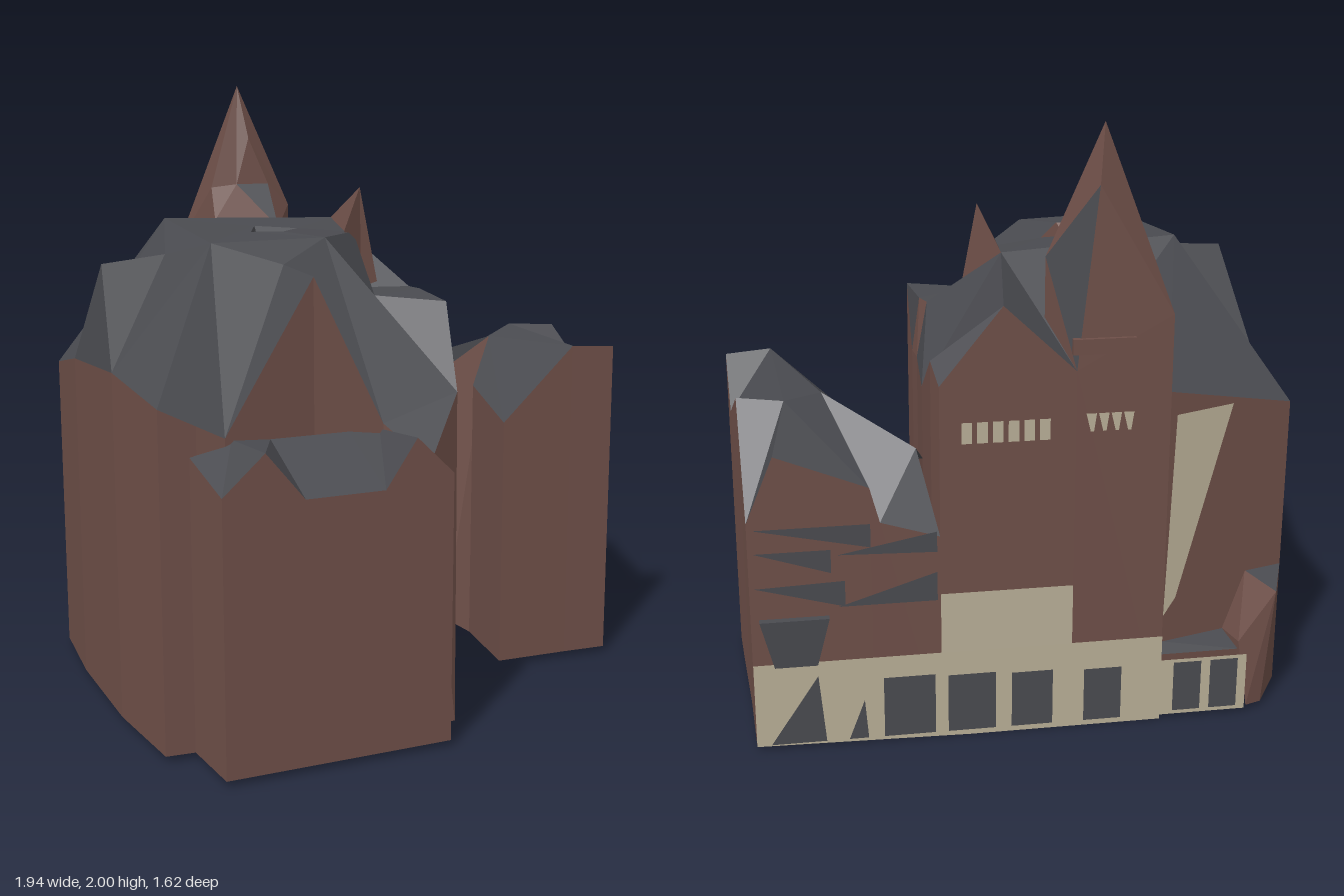
import * as THREE from 'three';

const mat = (name, color) => {
  const m = new THREE.MeshStandardMaterial({ color, side: THREE.DoubleSide, flatShading: true });
  m.name = name;
  return m;
};

export function createModel() {
  const group = new THREE.Group();
  const brick = mat('brick', 0x6e4f48);
  const slate = mat('slate', 0x4a4b50);
  const stone = mat('stone', 0xb9af97);

  // Flat polygons, each cut into a fan of triangles
  function faces(name, material, polys) {
    const pos = [];
    for (const p of polys)
      for (let i = 1; i < p.length - 1; i++)
        for (const v of [p[0], p[i], p[i + 1]]) pos.push(v[0], v[1], v[2]);
    const g = new THREE.BufferGeometry();
    g.setAttribute('position', new THREE.Float32BufferAttribute(pos, 3));
    g.computeVertexNormals();
    const mesh = new THREE.Mesh(g, material);
    mesh.name = name;
    group.add(mesh);
  }

  // Walls below a row of top corners [x, y, z, footX?, footZ?], open underneath
  function walls(name, row, base = 0.02) {
    const foot = row.map(p => [p[3] ?? p[0], base, p[4] ?? p[2]]);
    faces(name, brick, row.slice(1).map((p, i) => [row[i], p, foot[i + 1], foot[i]]));
  }

  // Points on the slanted back facade, pushed out by a small offset
  const onFacade = (x, y, off = 0.005) => [x + 0.32 * off, y, -0.585 + 0.34 * x - 0.947 * off];
  const panel = (x0, x1, y0, y1, off) =>
    [onFacade(x0, y0, off), onFacade(x1, y0, off), onFacade(x1, y1, off), onFacade(x0, y1, off)];

  // Main block: eave corners
  const e0 = [-0.8, 1.05, -0.67], e1 = [-0.88, 1.12, -0.35], e2 = [-0.95, 1.15, 0.08];
  const e3 = [-0.97, 1.1, 0.42], e4 = [-0.86, 1.05, 0.45];
  const g0 = [-0.78, 1.0, 0.48], gp = [-0.48, 1.46, 0.5], g1 = [-0.28, 1.0, 0.58], gr = [-0.45, 1.47, 0.28];
  const e5 = [-0.18, 0.88, 0.69, -0.17, 0.68], e6 = [-0.01, 1.07, 0.6, -0.08, 0.7];
  const e7 = [0.11, 1.32, 0.38], e8a = [0.19, 1.14, 0.17], e8 = [0.21, 1.14, 0.09];
  const e9 = [0.32, 1.13, -0.18], e10 = [0.38, 1.28, -0.37], e11 = [0.39, 1.22, -0.452];
  const e12 = [0.2, 1.47, -0.517], e13 = [-0.02, 1.25, -0.592];
  const p1 = [-0.31, 1.42, -0.69], e14 = [-0.33, 1.15, -0.645];
  walls('mainWalls',
    [e0, e1, e2, e3, e4, g0, gp, g1, e5, e6, e7, e8a, e8, e9, e10, e11, e12, e13, p1, e14, e0]);

  // Main roof: flat top with a diamond skylight pit
  const t0 = [-0.55, 1.57, -0.32], t1 = [0.04, 1.55, -0.2], t2 = [0, 1.52, 0];
  const t3 = [-0.27, 1.54, 0.24], t4 = [-0.65, 1.54, 0.18];
  const d0 = [-0.43, 1.55, 0.05], d1 = [-0.33, 1.55, -0.1], d2 = [-0.2, 1.54, -0.04], d3 = [-0.34, 1.55, 0.1];
  const pit = [-0.35, 1.46, -0.01];
  faces('roofTop', slate, [
    [t4, t0, d1, d0], [t0, t1, d1], [t1, t2, d2, d1], [t2, t3, d3, d2], [t3, t4, d0, d3],
    [d0, d1, pit], [d1, d2, pit],
  ]);
  faces('skylightPit', brick, [[d2, d3, pit], [d3, d0, pit]]);

  // Main roof: slopes with the side and front dormers
  const r0 = [-0.88, 1.46, -0.12], r1 = [-0.67, 1.48, -0.09];
  const c = [-0.05, 1.33, 0.2], b = [0.17, 1.33, 0.15], b2 = [0.17, 1.33, 0.09], dd = [0.02, 1.33, 0.02];
  faces('rightRoof', slate, [
    [e14, e0, t0], [e0, e1, t0], [e1, r0, r1], [e1, r1, t0], [e1, e2, r0],
    [e2, r0, r1], [e2, r1, t4], [r1, t0, t4], [e2, e3, t4],
  ]);
  faces('frontRoof', slate, [
    [e3, e4, g0], [e3, g0, t4], [g0, gp, gr], [g0, gr, t4], [gr, t3, t4],
    [g1, gp, gr], [g1, gr, t3], [g1, e5, e6], [g1, e6, t3],
  ]);
  faces('leftRoof', slate, [
    [e6, e7, c], [e6, c, t3], [e7, b, c], [b, b2, dd, c], [c, t3, t2], [c, dd, t2],
    [e7, b, e8a], [b2, e8, e9], [b2, e9, t1], [dd, b2, t1], [dd, t1, t2],
    [e9, t1, e12], [e9, e12, e10], [e10, e11, e12],
  ]);
  faces('backRoof', slate, [[t1, e12, e13], [t1, e13, t0], [t0, e13, e14]]);
  faces('dormerCheek', brick, [[b, b2, e8, e8a]]);

  // Pointed gable on the left edge of the flat roof
  const spike = [0.02, 1.67, 0.01], s1 = [-0.07, 1.53, 0.05], s2 = [0.08, 1.34, 0.03];
  faces('roofGable', brick, [[spike, s1, dd], [spike, dd, s2], [spike, s2, t1], [spike, s1, t1]]);

  // Tower and spire
  const apex = [-0.165, 2, -0.49], sh = [-0.085, 1.83, -0.6], sh2 = [-0.285, 1.65, -0.47];
  const m = [-0.15, 1.82, -0.44], pk = [-0.09, 1.66, -0.41], mid = [-0.2, 1.66, -0.44];
  const p3 = [0, 1.58, -0.42], p4 = [-0.09, 1.51, -0.34], p5 = [-0.3, 1.54, -0.42];
  walls('towerWalls', [e13, p3, p4, p5, p1], 0.95);
  faces('spire', brick, [
    [p1, e13, sh], [p1, sh, apex], [apex, sh, p3], [apex, p3, m], [m, p3, pk], [pk, p3, p4],
    [apex, m, mid], [m, pk, mid], [apex, mid, sh2], [mid, p4, p5, sh2], [apex, sh2, p1], [sh2, p5, p1],
  ]);
  faces('spireSlate', slate, [[e13, sh, p3], [mid, pk, p4]]);
  const ledge = new THREE.Mesh(new THREE.BoxGeometry(0.2, 0.05, 0.02), brick);
  ledge.name = 'towerLedge';
  ledge.position.set(...onFacade(-0.1, 1.33, 0.002));
  ledge.rotation.y = -Math.atan(0.34);
  group.add(ledge);

  // Front annex: one roof profile swept from front to back
  const xs = [-0.9, -0.77, -0.65, -0.4, -0.3, -0.18];
  const frontY = [0.88, 1.0, 0.85, 0.85, 1.0, 0.88], backY = [0.95, 0.99, 0.98, 0.98, 0.98, 0.9];
  const front = xs.map((x, i) => [x, frontY[i], 0.67 + (x + 0.9) * 0.194]);
  const back = xs.map((x, i) => [x + 0.02, backY[i], 0.44 + (x + 0.9) * 0.2]);
  walls('annexWalls', [back[0], ...front, back[5]]);
  faces('annexRoof', slate, xs.slice(1).map((_, i) => [front[i], front[i + 1], back[i + 1], back[i]]));

  // Left wing
  const w32 = [0.32, 0.88, -0.18], w47 = [0.47, 0.9, -0.22], q = [0.6, 1.1, 0, 0.46, -0.06];
  const w45 = [0.45, 0.95, 0.1], w36 = [0.36, 0.88, 0.385], w61 = [0.61, 1.13, 0.445];
  const w76 = [0.76, 1.12, 0.485], w80 = [0.8, 0.96, 0.34], w89 = [0.885, 1.12, 0.02], w96 = [0.965, 0.8, -0.255];
  const f88 = [0.88, 1.02, -0.286], f60 = [0.6, 0.9, -0.381], f58 = [0.57, 0.78, -0.391], f39 = [0.39, 0.72, -0.452];
  const hip = [0.76, 1.12, -0.08], ridge = [0.4, 0.97, -0.3];
  walls('wingWalls', [w32, w47, q, w45, w36, w61, w76, w80, w89, w96, f88, f60, f58, f39]);
  faces('wingRoof', slate, [
    [w36, w61, q], [w36, q, w45], [w61, w76, w80], [w61, w80, hip], [w61, hip, q],
    [w80, w89, hip], [w89, w96, hip], [w96, f88, hip], [f88, f60, hip],
    [hip, f60, q], [f60, f58, q], [f58, ridge, q], [q, w47, ridge],
    [w47, w32, ridge], [ridge, f58, f39],
  ]);

  // Stone ground floor on the back facade
  faces('stoneBase', stone, [
    [onFacade(-0.31, 0), onFacade(0.3, 0), onFacade(0.965, 0.015), onFacade(0.965, 0.31), onFacade(-0.31, 0.31)],
    panel(-0.02, 0.39, 0.31, 0.52),
  ]);
  faces('porchWall', stone, [panel(-0.59, -0.31, 0.015, 0.22)]);
  faces('stonePatch', stone, [
    [[-0.36, 1.07, -0.656], [-0.57, 1.08, -0.669], [-0.38, 0.42, -0.657], [-0.335, 0.36, -0.655]],
  ]);

  // Ground floor openings and upper windows
  const openings = [[0.41, 0.57], [0.22, 0.37], [0.04, 0.17], [-0.18, -0.06]];
  faces('groundWindows', slate, [
    ...openings.map(([a, z], i) => panel(a, z, 0.02, 0.235 - i * 0.008, 0.009)),
    ...[[-0.44, -0.35], [-0.56, -0.47]].map(([a, z]) => panel(a, z, 0.03, 0.21, 0.009)),
    [onFacade(0.92, 0.02, 0.009), onFacade(0.75, 0.02, 0.009), onFacade(0.77, 0.26, 0.009)],
    [onFacade(0.68, 0.02, 0.009), onFacade(0.62, 0.02, 0.009), onFacade(0.63, 0.16, 0.009)],
  ]);
  const slits = [];
  for (let i = 0; i < 6; i++) slits.push(panel(0.293 - i * 0.047, 0.325 - i * 0.047, 1.03, 1.1));
  for (let i = 0; i < 4; i++) {
    const x = -0.05 - i * 0.038;
    slits.push([onFacade(x, 1.11), onFacade(x - 0.032, 1.11), onFacade(x - 0.024, 1.05), onFacade(x - 0.014, 1.05)]);
  }
  faces('upperWindows', stone, slits);

  // Slate slivers across the wing facade
  const sliver = (x0, ya, x1, yb, yc) => [onFacade(x0, ya), onFacade(x1, yb), onFacade(x1, yc)];
  faces('wingWindows', slate, [
    sliver(0.95, 0.78, 0.6, 0.78, 0.7), sliver(0.95, 0.7, 0.72, 0.7, 0.62),
    sliver(0.95, 0.58, 0.68, 0.5, 0.59), sliver(0.7, 0.5, 0.4, 0.5, 0.6),
    sliver(0.7, 0.68, 0.4, 0.67, 0.74),
  ]);

  // Bay window on the wing
  const bayTop = [0.94, 0.73].map(x => [onFacade(x, 0.47, 0), onFacade(x, 0.47, 0.025)]);
  const bayLow = [0.9, 0.77].map(x => [onFacade(x, 0.3, 0), onFacade(x, 0.3, 0.012)]);
  faces('bayWindow', slate, [
    [bayTop[0][0], bayTop[0][1], bayTop[1][1], bayTop[1][0]],
    [bayTop[0][1], bayTop[1][1], bayLow[1][1], bayLow[0][1]],
    [bayLow[0][0], bayLow[0][1], bayLow[1][1], bayLow[1][0]],
    ...[0, 1].map(i => [bayTop[i][0], bayTop[i][1], bayLow[i][1], bayLow[i][0]]),
  ]);

  // Porch roof and corner wedge
  const k0 = [-0.68, 0.44, -0.81, -0.66, -0.785], k1 = [-0.8, 0.46, -0.67];
  const k2 = [-0.66, 0.46, -0.66], k3 = [-0.57, 0.26, -0.765, -0.6, -0.785];
  walls('porchCorner', [k1, k0, k3]);
  faces('porchRoof', slate, [
    [k0, k1, k2], [[-0.56, 0.24, -0.775], [-0.31, 0.24, -0.69], [-0.34, 0.26, -0.645], [-0.58, 0.26, -0.65]],
  ]);
  faces('porchSlope', brick, [[k0, k2, k3], [k2, k3, [-0.58, 0.26, -0.65]]]);

  return group;
}
